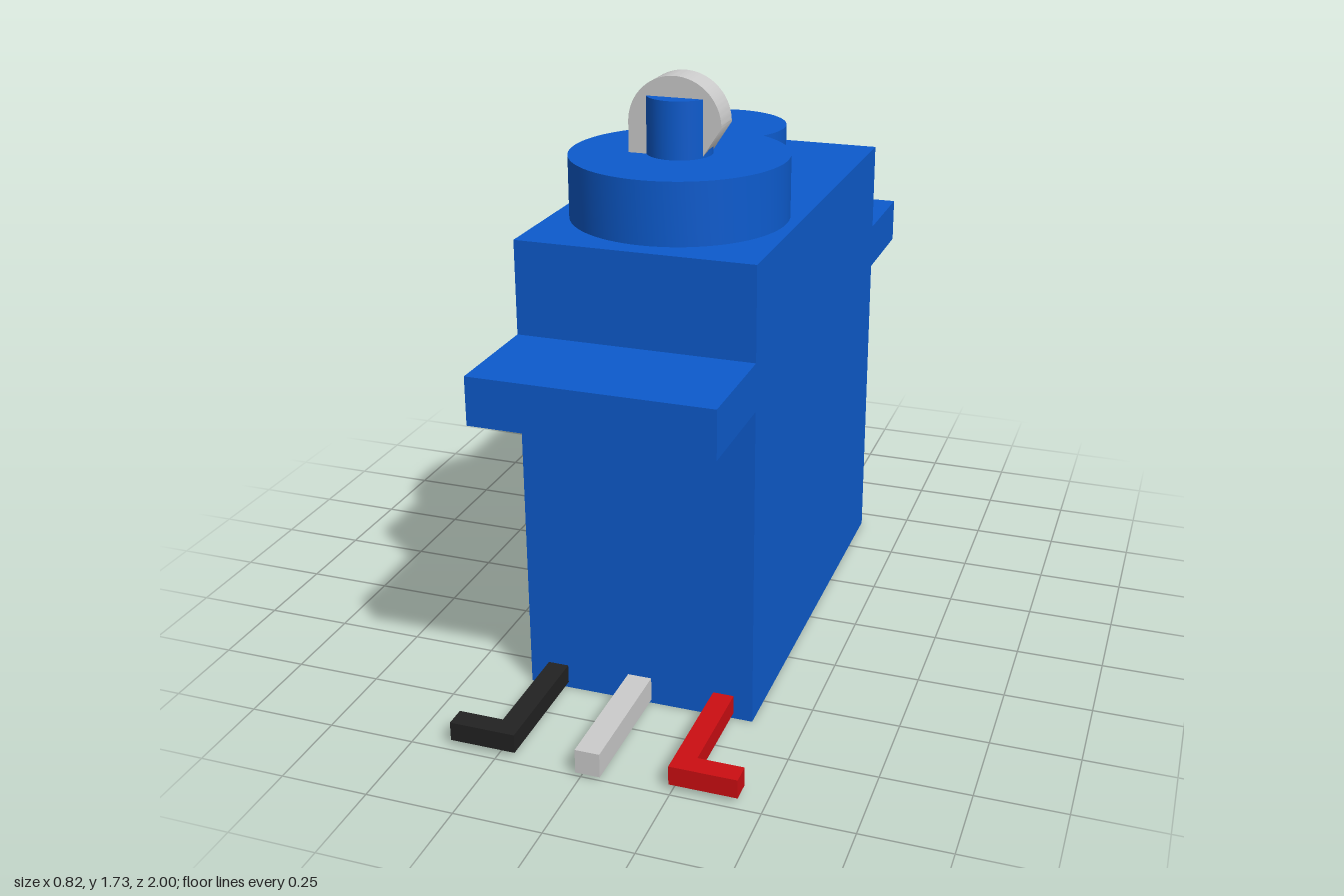
import * as THREE from 'three';
import { toCreasedNormals } from 'three/addons/utils/BufferGeometryUtils.js';

const CX = 0.02; // centre line of the servo case

const material = (color) => new THREE.MeshStandardMaterial({ color });
const blue = material(0x0d5bcd);
const grey = material(0xcccccc);
const red = material(0xcc0e12);
const black = material(0x222222);

function extrude(shape, depth) {
  const geo = new THREE.ExtrudeGeometry(shape, { depth, bevelEnabled: false, curveSegments: 32 });
  return toCreasedNormals(geo, 0.6);
}

const polygon = (points) => new THREE.Shape(points.map(([x, y]) => new THREE.Vector2(x, y)));

export function createModel() {
  const group = new THREE.Group();
  const add = (name, geo, mat, x = 0, y = 0, z = 0) => {
    const mesh = new THREE.Mesh(geo, mat);
    mesh.name = name;
    mesh.position.set(x, y, z);
    group.add(mesh);
    return mesh;
  };

  // Case with mounting flanges: side profile (z, y) extruded across x
  const width = 0.67;
  const profile = polygon([
    [-0.68, 0], [0.61, 0], [0.61, 0.94], [0.93, 0.94], [0.93, 1.075], [0.61, 1.075],
    [0.61, 1.34], [-0.68, 1.34], [-0.68, 1.075], [-1, 1.075], [-1, 0.94], [-0.68, 0.94],
  ]);
  const caseGeo = extrude(profile, width).translate(0, 0, -width / 2).rotateY(-Math.PI / 2);
  add('caseWithFlanges', caseGeo, blue, CX);

  // Gear cover: outline of two overlapping discs
  const bigZ = 0.245, bigR = 0.305, smallZ = -0.12, smallR = 0.19;
  const d = bigZ - smallZ;
  const toChord = (d * d + bigR * bigR - smallR * smallR) / (2 * d);
  const a = Math.acos(toChord / bigR);
  const b = Math.acos((d - toChord) / smallR);
  const q = Math.PI / 2;
  const cover = new THREE.Shape();
  cover.absarc(0, -bigZ, bigR, q + a, 5 * q - a, false);
  cover.absarc(0, -smallZ, smallR, -q + b, 3 * q - b, false);
  add('gearCover', extrude(cover, 0.175).rotateX(-q), blue, CX, 1.34);

  // Output shaft
  add('outputShaft', new THREE.CylinderGeometry(0.092, 0.092, 0.175, 32), blue, CX, 1.5875, 0.242);

  // Arch straddling the shaft
  const R = 0.133, r = 0.075, foot = -0.09;
  const arch = new THREE.Shape();
  arch.moveTo(R, foot);
  arch.absarc(0, 0, R, 0, Math.PI, false);
  arch.lineTo(-R, foot);
  arch.lineTo(-r, foot);
  arch.absarc(0, 0, r, Math.PI, 0, true);
  arch.lineTo(r, foot);
  add('shaftArch', extrude(arch, 0.09), grey, CX, 1.6, 0.195);

  // Signal pin
  add('signalPin', new THREE.BoxGeometry(0.07, 0.07, 0.4), grey, CX, 0.045, 0.8);

  // L-shaped power pins, mirrored about the centre line
  for (const [name, side, mat] of [['powerPin', 1, red], ['groundPin', -1, black]]) {
    const corners = [[0.22, -0.6], [0.22, -0.98], [0.41, -0.98], [0.41, -0.92], [0.28, -0.92], [0.28, -0.6]];
    const pin = polygon(corners.map(([x, y]) => [x * side, y]));
    add(name, extrude(pin, 0.055).rotateX(-q), mat, CX, 0.017);
  }

  return group;
}
